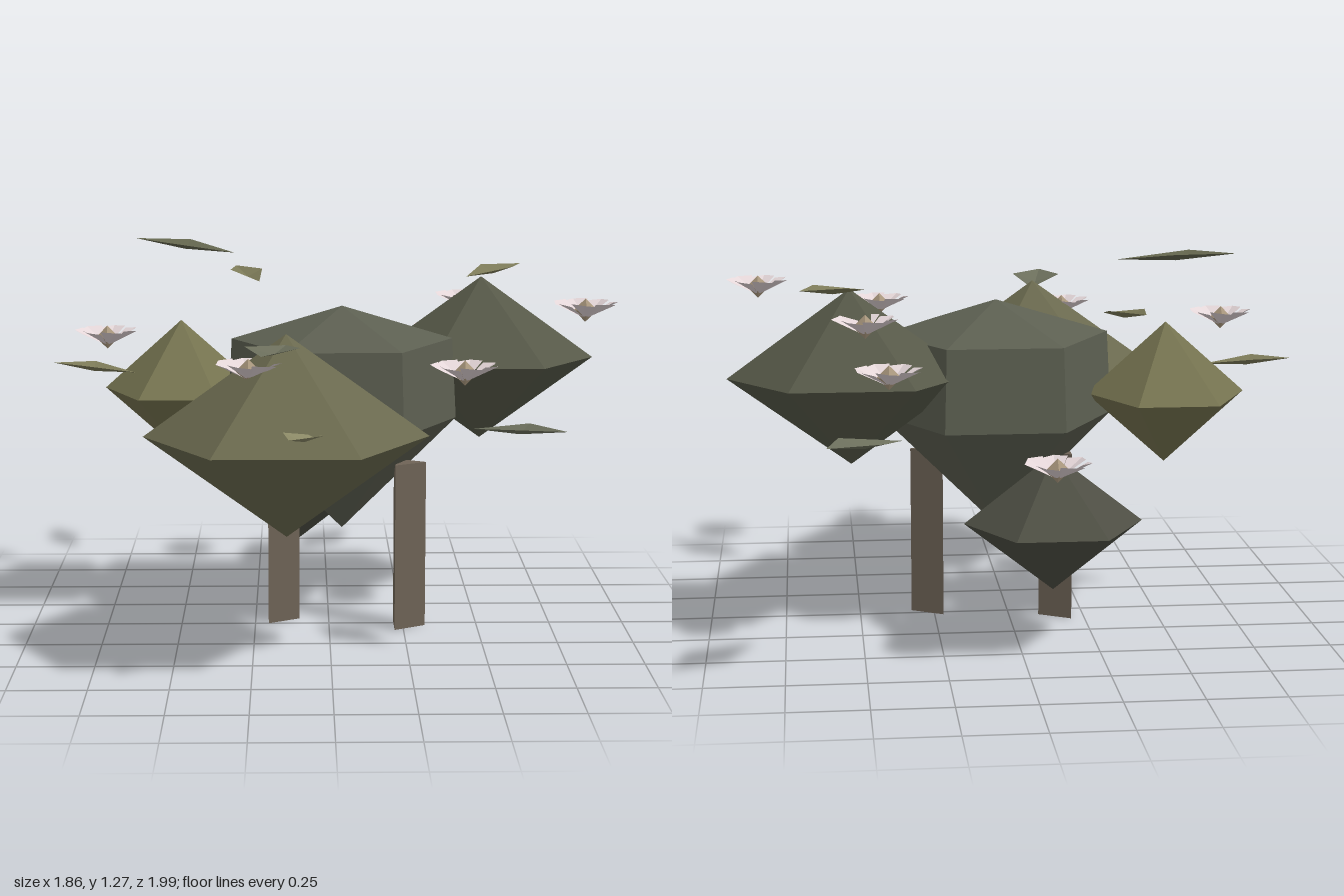
import * as THREE from 'three';

const mat = (color, side = THREE.FrontSide) =>
  new THREE.MeshStandardMaterial({ color, flatShading: true, side });

function part(name, geometry, material, x, y, z) {
  const m = new THREE.Mesh(geometry, material);
  m.name = name;
  m.position.set(x, y, z);
  return m;
}

function fromTriangles(points) {
  const g = new THREE.BufferGeometry();
  g.setAttribute('position', new THREE.Float32BufferAttribute(points.flatMap(p => p.toArray()), 3));
  g.computeVertexNormals();
  return g;
}

// Folded kite with a low midrib running from base to tip
function leafGeometry(base, tip, halfWidth) {
  const a = new THREE.Vector3(...base), b = new THREE.Vector3(...tip);
  const across = new THREE.Vector3(b.z - a.z, 0, a.x - b.x).setLength(halfWidth);
  const mid = a.clone().lerp(b, 0.5);
  mid.y -= 0.012;
  const shoulder = a.clone().lerp(b, 0.55);
  shoulder.y += 0.012;
  const l = shoulder.clone().add(across), r = shoulder.clone().sub(across);
  return fromTriangles([a, l, mid, l, b, mid, a, mid, r, mid, b, r]);
}

// Shallow open cup of overlapping petals
function petalGeometry(count = 7) {
  const pts = [];
  const at = (r, y, t) => new THREE.Vector3(r * Math.sin(t), y, r * Math.cos(t));
  for (let i = 0; i < count; i++) {
    const t = (i / count) * Math.PI * 2, w = Math.PI / count;
    const c = at(0, -0.035, t), tip = at(0.106, 0.018, t);
    const l = at(0.09, 0.02, t - w * 1.05), r = at(0.098, 0.012, t + w * 1.05);
    pts.push(c, l, tip, c, tip, r);
  }
  return fromTriangles(pts);
}

export function createModel() {
  const group = new THREE.Group();

  // Three-sided trunks
  const bark = mat(0x6e6356);
  for (const [name, x, z] of [['leftTrunk', 0.255, 0.03], ['rightTrunk', -0.17, -0.06]]) {
    const g = new THREE.CylinderGeometry(0.07, 0.07, 0.565, 3, 1, false, Math.PI / 2);
    group.add(part(name, g, bark, x, 0.2825, z));
  }

  // Central crown: shallow cap, upright band, deep pointed underside
  const profile = [[0, 0.32], [0.385, 0.7], [0.37, 0.97], [0, 1.08]].map(p => new THREE.Vector2(...p));
  const crown = part('centralCrown', new THREE.LatheGeometry(profile, 6, Math.PI / 2), mat(0x5c5f51), 0.045, 0, -0.065);
  crown.scale.z = 1.08;
  group.add(crown);

  // Six-sided bipyramid foliage clumps: name, centre, radii, colour
  const clumps = [
    ['frontFoliage', [-0.14, 0.745, 0.52], [0.445, 0.32, 0.435], 0x6a694e],
    ['rightFoliage', [-0.5, 0.785, -0.19], [0.26, 0.232, 0.32], 0x74724f],
    ['leftFoliage', [0.53, 0.87, -0.3], [0.39, 0.282, 0.315], 0x565848],
    ['backFoliage', [-0.105, 0.415, -0.435], [0.285, 0.222, 0.3], 0x4d4e43],
  ];
  for (const [name, pos, size, color] of clumps) {
    const m = part(name, new THREE.SphereGeometry(1, 6, 2), mat(color), ...pos);
    m.scale.set(...size);
    group.add(m);
  }

  // Floating leaves: base, tip, half width, colour
  const leaves = [
    [[0.385, 0.745, -0.71], [0.617, 0.785, -1], 0.085, 0x6c6f5c],
    [[-0.24, 1.105, -0.57], [-0.33, 1.135, -0.84], 0.06, 0x7c7a58],
    [[0.48, 1.15, -0.31], [0.685, 1.175, -0.515], 0.07, 0x7c7a58],
    [[-0.32, 1.235, -0.3], [-0.67, 1.27, -0.47], 0.08, 0x65674f],
    [[0.72, 0.78, 0.65], [0.45, 0.745, 0.4], 0.075, 0x6c6f5c],
    [[-0.65, 0.855, -0.07], [-0.93, 0.88, -0.13], 0.06, 0x7c7a58],
    [[-0.14, 1.035, 0.55], [-0.21, 1.055, 0.93], 0.085, 0x6c6f5c],
    [[-0.04, 0.8, 0.8], [-0.13, 0.82, 0.99], 0.065, 0x8a8865],
  ];
  leaves.forEach(([base, tip, w, color], i) =>
    group.add(part(`leaf${i + 1}`, leafGeometry(base, tip, w), mat(color, THREE.DoubleSide), 0, 0, 0)));

  // Floating blossoms with pointed centres
  const petals = petalGeometry(), heart = new THREE.OctahedronGeometry(0.038);
  const petalMat = mat(0xe4d6d8, THREE.DoubleSide), heartMat = mat(0xa8967c);
  const blossoms = [
    [-0.08, 0.66, -0.75], [0.42, 0.93, -0.62], [0.485, 1.06, -0.445], [-0.73, 1, 0.055],
    [0.825, 1.105, 0.2], [0.4, 0.975, 0.68], [-0.255, 0.97, 0.6],
  ];
  blossoms.forEach((p, i) => {
    const b = new THREE.Group();
    b.name = `blossom${i + 1}`;
    b.position.set(...p);
    b.rotation.y = i * 1.3;
    const centre = part('blossomCentre', heart, heartMat, 0, -0.008, 0);
    centre.rotation.y = -i * 1.3;
    b.add(part('petals', petals, petalMat, 0, 0, 0), centre);
    group.add(b);
  });

  return group;
}
